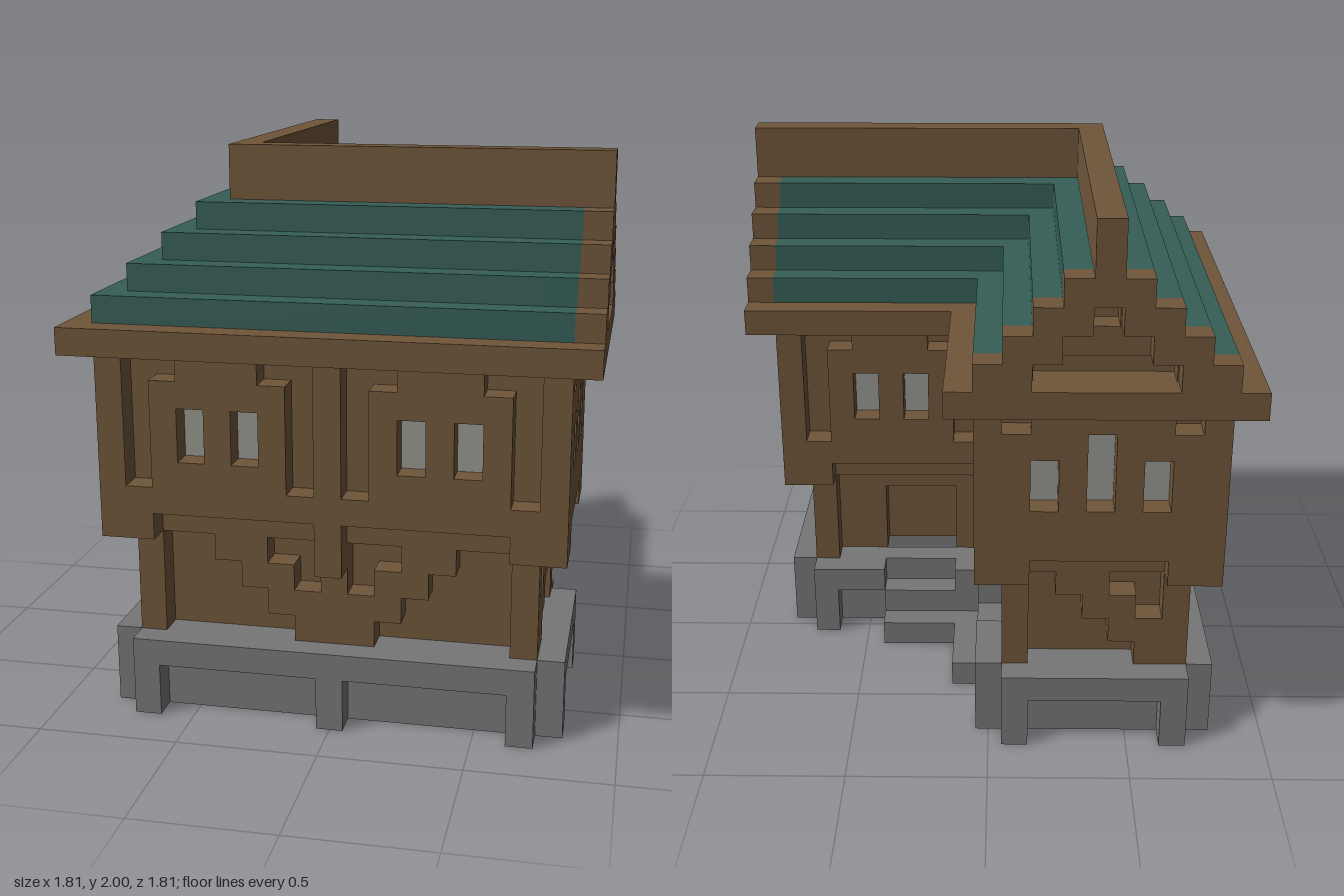
import * as THREE from 'three';
import { mergeGeometries } from 'three/addons/utils/BufferGeometryUtils.js';

// One block of the grid; the house is 19 x 21 x 19 blocks.
const U = 2 / 21;

// Box from block coordinates: a runs along +x, y is up, b runs from the front to the back.
function block([a0, a1, y0, y1, b0, b1]) {
  const g = new THREE.BoxGeometry((a1 - a0) * U, (y1 - y0) * U, (b1 - b0) * U);
  g.translate(((a0 + a1) / 2 - 9.5) * U, ((y0 + y1) / 2) * U, (9.5 - (b0 + b1) / 2) * U);
  return g;
}

export function createModel() {
  const house = new THREE.Group();
  house.name = 'house';
  const paint = (name, hex) => {
    const m = new THREE.MeshStandardMaterial({ color: hex });
    m.name = name;
    return m;
  };
  const wood = paint('brownWood', 0x70563a);
  const tile = paint('tealTile', 0x365e57);
  const stone = paint('greyStone', 0x767676);
  const glass = paint('paleGlass', 0x969690);

  // The two wings are alike, so each part is built for one and swapped across the diagonal.
  const wings = ['frontWing', 'sideWing'].map((name) => {
    const g = new THREE.Group();
    g.name = name;
    house.add(g);
    return g;
  });
  function part(name, material, boxes) {
    wings.forEach((wing, i) => {
      const list = i ? boxes.map(([a0, a1, y0, y1, b0, b1]) => [b0, b1, y0, y1, a0, a1]) : boxes;
      const mesh = new THREE.Mesh(mergeGeometries(list.map(block)), material);
      mesh.name = name;
      wing.add(mesh);
    });
  }

  // Stone base: hollow ring, top band, piers and door steps
  part('baseWall', stone, [
    [2, 17, 0, 3, 2, 3], [8, 17, 0, 3, 8, 9], [16, 17, 0, 3, 2, 9],
  ]);
  part('baseBand', stone, [
    [2, 17, 2, 3, 1, 2], [17, 18, 2, 3, 2, 9],
    [9, 11, 2, 3, 9, 10], [14, 17, 2, 3, 9, 10],
  ]);
  part('basePiers', stone, [
    ...[2, 9, 16].map((a) => [a, a + 1, 0, 2, 1, 2]),
    ...[2, 8].map((b) => [17, 18, 0, 2, b, b + 1]),
    [16, 17, 0, 2, 9, 10],
  ]);
  part('doorSteps', stone, [[9, 14, 0, 2, 9, 10], [10, 14, 0, 1, 10, 11]]);

  // Ground floor: recessed wall with a door niche, posts and stepped braces
  part('lowerWall', wood, [
    [3, 16, 3, 7, 3, 7], [3, 11, 3, 7, 7, 8], [14, 16, 3, 7, 7, 8], [11, 14, 6, 7, 7, 8],
  ]);
  part('lowerPosts', wood, [
    [2, 3, 3, 7, 2, 3], [9, 10, 3, 7, 2, 3], [16, 17, 3, 7, 2, 3],
    [16, 17, 3, 7, 8, 9], [8, 9, 3, 7, 8, 9],
  ]);
  const braces = [];
  for (let k = 0; k < 4; k++) {
    const near = Math.max(k - 1, 0), far = k + 1, y = 3 + k;
    braces.push([10 + near, 10 + far, y, y + 1, 2, 3]);
    braces.push([9 - far, 9 - near, y, y + 1, 2, 3]);
    braces.push([16, 17, y, y + 1, 3 + near, 3 + far]);
  }
  part('braces', wood, braces);

  // Upper floor: core wall, brackets, sill beam and posts
  part('upperWall', wood, [[2, 17, 7, 14, 2, 9]]);
  part('brackets', wood, [
    [1, 3, 7, 8, 1, 2], [9, 10, 6, 8, 1, 2], [16, 18, 7, 8, 1, 2], [16, 18, 7, 8, 9, 10],
    [17, 18, 7, 8, 1, 3], [17, 18, 7, 8, 8, 10], [9, 10, 7, 8, 9, 10],
  ]);
  part('sillBeams', wood, [[1, 18, 8, 9, 1, 2], [9, 18, 8, 9, 9, 10]]);
  part('upperPosts', wood, [
    [1, 2, 8, 14, 1, 2], [9, 10, 8, 14, 1, 2], [17, 18, 8, 14, 1, 2],
    [17, 18, 8, 14, 9, 10], [9, 10, 8, 14, 9, 10],
  ]);

  // Window panels along the long walls
  const panels = [], panes = [];
  for (const [s, b, pane] of [[2, 1, 1.92], [10, 1, 1.92], [10, 9, 9]]) {
    panels.push([s + 1, s + 6, 9, 10, b, b + 1], [s + 1, s + 6, 12, 13, b, b + 1]);
    panels.push([s + 2, s + 5, 13, 14, b, b + 1]);
    for (const t of [1, 3, 5]) panels.push([s + t, s + t + 1, 10, 12, b, b + 1]);
    for (const t of [2, 4]) panes.push([s + t, s + t + 1, 10, 12, pane, pane + 0.08]);
  }
  part('windowPanels', wood, panels);

  // Gable end wall with three windows
  part('gableEndWall', wood, [
    [17, 18, 8, 10, 1, 10],
    ...[[1, 3], [4, 5], [6, 7], [8, 10]].map(([p, q]) => [17, 18, 10, 12, p, q]),
    [17, 18, 12, 13, 1, 5], [17, 18, 12, 13, 6, 10],
    ...[[1, 2], [3, 8], [9, 10]].map(([p, q]) => [17, 18, 13, 14, p, q]),
  ]);
  for (const [b, top] of [[3, 12], [5, 13], [7, 12]]) panes.push([17, 17.08, 10, top, b, b + 1]);
  part('windowPanes', glass, panes);

  // Roof: eave plate, stepped tiles, stepped gable rake and ridge
  part('eaves', wood, [[0, 19, 14, 15, 0, 11]]);
  const tiles = [], rake = [], back = [];
  for (let k = 0; k < 4; k++) {
    const y = 15 + k, lo = 1 + k, hi = 10 - k;
    tiles.push([lo, 17, y, y + 1, lo, hi]);
    for (const [p, q] of [[lo, lo + 2], [hi - 2, hi]]) {
      tiles.push([17, 17.98, y, y + 1, p, q]);
      rake.push([17.98, 19, y, y + 1, p, q]);
    }
    if (k < 3) {
      // brown lining of the gable opening
      back.push([17, 17.05, y, y + 1, lo + 2, hi - 2]);
      back.push([17, 18, y, y + 1, lo + 1.95, lo + 2.05], [17, 18, y, y + 1, hi - 2.05, hi - 1.95]);
      back.push([17, 18, y + 0.95, y + 1, lo + 2, hi - 2]);
    }
  }
  part('roofTiles', tile, tiles);
  part('gableRake', wood, rake);
  part('gableBack', wood, back);
  part('collarBeam', wood, [[17, 18, 16, 17, 4, 7]]);
  part('ridge', wood, [[5, 19, 19, 21, 5, 6]]);

  return house;
}
